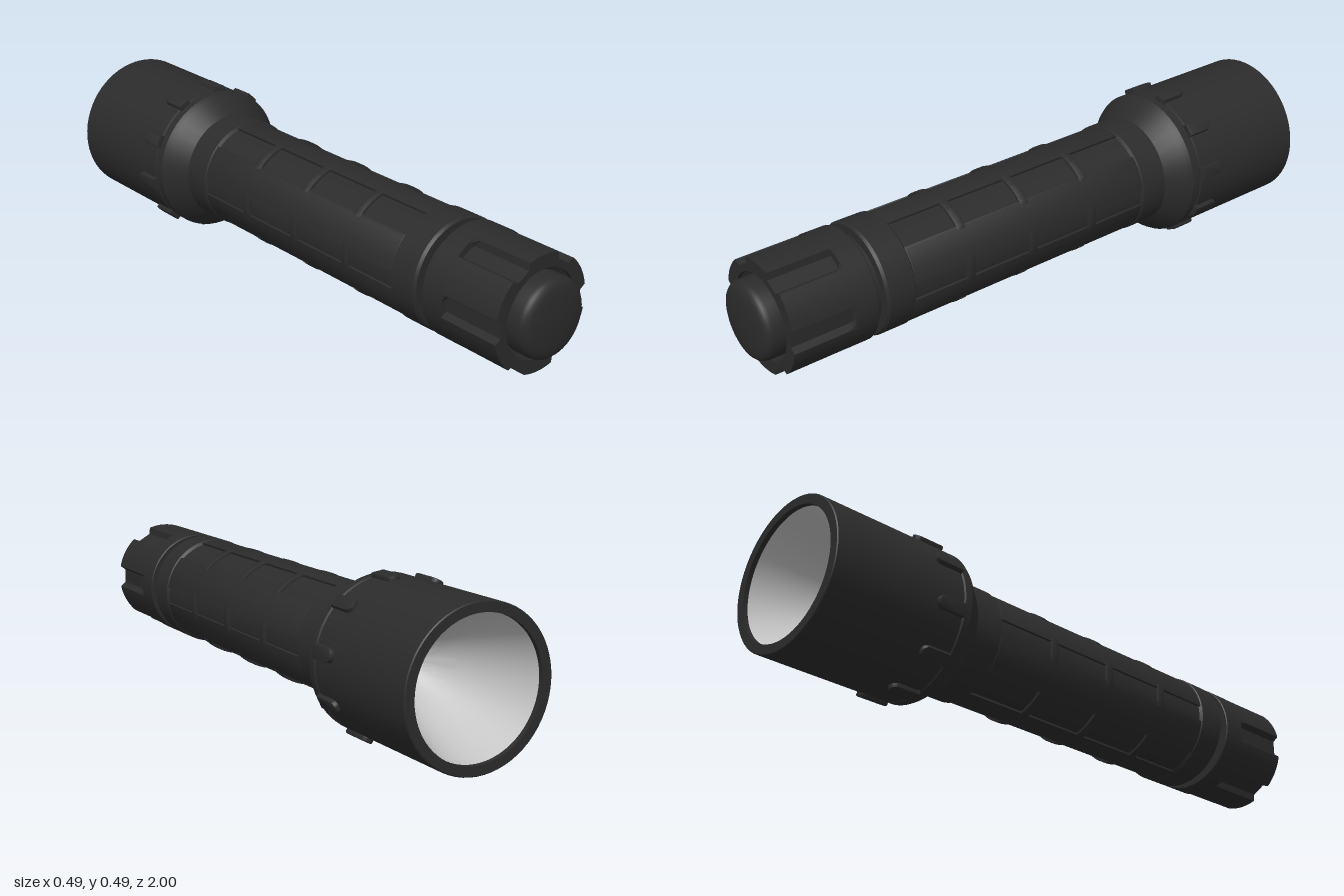
import * as THREE from 'three';
import { toCreasedNormals } from 'three/addons/utils/BufferGeometryUtils.js';

const AXIS_Y = 0.25;
const rad = THREE.MathUtils.degToRad;

export function createModel() {
  const black = new THREE.MeshStandardMaterial({ color: 0x2b2b2b });
  black.name = 'matte black';
  const silver = new THREE.MeshStandardMaterial({ color: 0xc4c4c4 });
  silver.name = 'reflector silver';

  const model = new THREE.Group();
  model.name = 'flashlight';
  const body = new THREE.Group();
  body.name = 'flashlightAssembly';
  body.position.y = AXIS_Y;
  model.add(body);

  const add = (name, geometry, material = black, parent = body) => {
    const mesh = new THREE.Mesh(toCreasedNormals(geometry, 0.5), material);
    mesh.name = name;
    parent.add(mesh);
    return mesh;
  };
  // Turned part along z from [radius, z] pairs
  const turned = (name, profile, material) => {
    const pts = profile.map(([r, z]) => new THREE.Vector2(r, z));
    return add(name, new THREE.LatheGeometry(pts, 64).rotateX(Math.PI / 2), material);
  };
  // Curved bar hugging the tube, between two angles in degrees
  const arcBar = (name, r, a0, a1, z0, z1, parent) => {
    const b = 0.003;
    const pad = b / r;
    const shape = new THREE.Shape();
    shape.absarc(0, 0, r - b, rad(a0) + pad, rad(a1) - pad, false);
    shape.absarc(0, 0, 0.158, rad(a1) - pad, rad(a0) + pad, true);
    shape.closePath();
    const geometry = new THREE.ExtrudeGeometry(shape, {
      depth: z1 - z0 - 2 * b, bevelThickness: b, bevelSize: b, bevelSegments: 2, curveSegments: 8,
    }).translate(0, 0, z0 + b);
    return add(name, geometry, black, parent);
  };

  // Head: rim, bell, collar groove and taper
  turned('head', [
    [0.203, -0.985], [0.203, -1], [0.231, -1], [0.234, -0.997], [0.234, -0.567],
    [0.229, -0.564], [0.229, -0.556], [0.234, -0.553], [0.234, -0.53], [0.226, -0.516],
    [0.177, -0.458], [0.17, -0.452],
  ]);

  // Reflector: parabolic bowl opening at the back
  const bowl = [];
  for (let i = 0; i <= 20; i++) {
    const r = 0.203 * i / 20;
    bowl.push([r, -0.62 - 0.365 * Math.pow(i / 20, 1.7)]);
  }
  turned('reflector', bowl, silver);

  // Grip lugs around the head
  const lugs = new THREE.Group();
  lugs.name = 'headLugs';
  body.add(lugs);
  for (let i = 0; i < 10; i++) {
    const w = 0.017;
    const s = new THREE.Shape();
    s.moveTo(-w, 0);
    s.lineTo(w, 0);
    s.lineTo(w, 0.069);
    s.absarc(0, 0.069, w, 0, Math.PI, false);
    s.closePath();
    const geometry = new THREE.ExtrudeGeometry(s, {
      depth: 0.022, bevelThickness: 0.004, bevelSize: 0.004, bevelSegments: 2, curveSegments: 10,
    }).rotateX(-Math.PI / 2).translate(0, 0.221, -0.564).rotateZ(rad(10 + 36 * i - 90));
    add('headLug', geometry, black, lugs);
  }

  // Tube with recessed grip zone, end collars and tail neck
  turned('tube', [
    [0.16, -0.47], [0.177, -0.462], [0.177, -0.365], [0.168, -0.358], [0.168, 0.527],
    [0.177, 0.534], [0.177, 0.622], [0.171, 0.631], [0.145, 0.631], [0.145, 0.668],
  ]);

  // Raised grip strips with ribs bridging the channels
  const grip = new THREE.Group();
  grip.name = 'grip';
  body.add(grip);
  const strips = [[76, 104], [9, 46], [134, 171], [189, 226], [256, 284], [314, 351]];
  strips.forEach(([a, b]) => arcBar('gripStrip', 0.175, a, b, -0.362, 0.531, grip));
  const channels = [[-9, 9], [46, 76], [104, 134], [171, 189], [226, 256], [284, 314]];
  for (const [a, b] of channels) {
    for (const z of [-0.145, 0.092, 0.33]) {
      arcBar('gripRib', 0.1765, a - 4, b + 4, z - 0.015, z + 0.015, grip);
    }
  }

  // Tail cap: plain ring, then a crown with six grooves
  turned('tailCapRing', [[0.14, 0.658], [0.174, 0.658], [0.177, 0.661], [0.177, 0.735], [0.14, 0.735]]);
  const crown = new THREE.Shape();
  for (let i = 0; i < 6; i++) {
    const c = 60 * i;
    const at = (r, a) => [r * Math.cos(rad(c + a)), r * Math.sin(rad(c + a))];
    if (i === 0) crown.moveTo(...at(0.177, -12));
    crown.lineTo(...at(0.157, -8.5));
    crown.lineTo(...at(0.155, 0));
    crown.lineTo(...at(0.157, 8.5));
    crown.lineTo(...at(0.177, 12));
    crown.absarc(0, 0, 0.177, rad(c + 12), rad(c + 48), false);
  }
  const hole = new THREE.Path();
  hole.absarc(0, 0, 0.135, 0, Math.PI * 2, true);
  crown.holes.push(hole);
  add('tailCapCrown', new THREE.ExtrudeGeometry(crown, {
    depth: 0.206, bevelEnabled: false, curveSegments: 24,
  }).translate(0, 0, 0.734));

  // Rounded fillers closing the inner ends of the grooves
  for (let i = 0; i < 6; i++) {
    for (const side of [-1, 1]) {
      const s = new THREE.Shape();
      s.moveTo(0.036, 0);
      s.lineTo(0.036, 0.03);
      s.quadraticCurveTo(0.034, 0.004, 0.008, 0);
      s.closePath();
      const geometry = new THREE.ExtrudeGeometry(s, { depth: 0.02, bevelEnabled: false, curveSegments: 6 })
        .rotateX(Math.PI / 2).rotateZ(side > 0 ? 0 : Math.PI);
      if (side < 0) geometry.translate(0, -0.02, 0);
      geometry.translate(0, side > 0 ? 0.172 : 0.152, 0.734).rotateZ(rad(60 * i - 90));
      add('grooveCorner', geometry);
    }
  }

  // Push button in the tail
  turned('buttonSeat', [[0.137, 0.928], [0.118, 0.918]]);
  turned('tailButton', [
    [0.121, 0.91], [0.121, 0.966], [0.118, 0.978], [0.11, 0.987], [0.098, 0.992],
    [0.07, 0.996], [0.035, 0.999], [0, 1],
  ]);

  return model;
}
